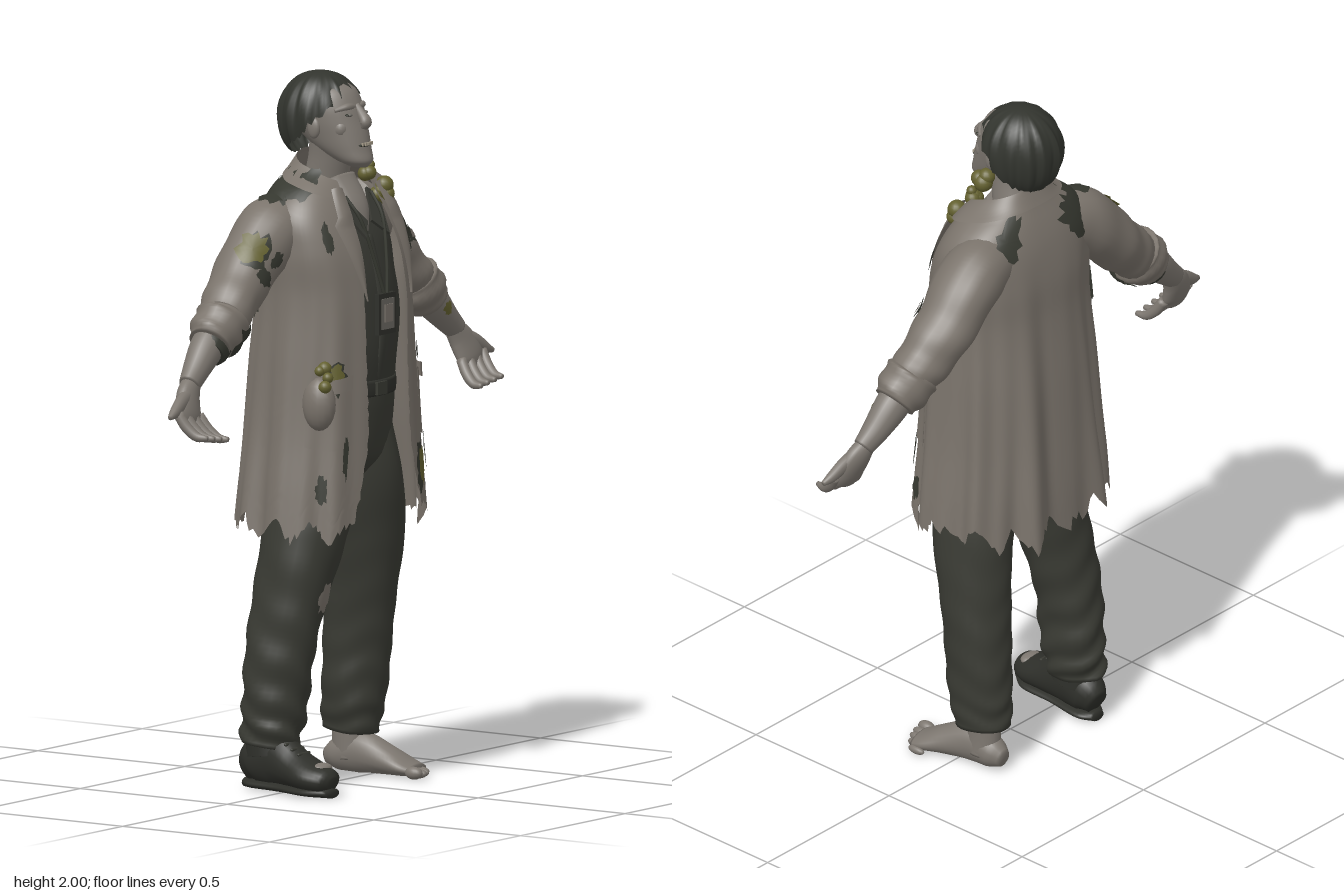
import * as THREE from 'three';

const M = {};
for (const [name, hex] of Object.entries({ coat: 0x7a736b, skin: 0x7d7770, trousers: 0x393a33, shirt: 0x373832, hair: 0x32342e,
  growth: 0x646130, shoe: 0x2e2f2a, tear: 0x363830, badge: 0x6a6761, teeth: 0xa39a88 })) {
  M[name] = new THREE.MeshStandardMaterial({ color: hex, side: THREE.DoubleSide });
  M[name].name = name;
}
const { sin, cos, PI, abs, sign } = Math;
const hash = n => { const s = sin(n * 127.1 + 11.7) * 43758.5453; return s - Math.floor(s); };
const lerp = THREE.MathUtils.lerp;

function add(parent, name, geo, mat, pos = [0, 0, 0], scale = [1, 1, 1], rot = [0, 0, 0]) {
  const m = new THREE.Mesh(geo, mat);
  m.name = name;
  m.position.set(...pos); m.scale.set(...scale); m.rotation.set(...rot);
  parent.add(m);
}
const ball = (parent, name, mat, pos, size) => add(parent, name, new THREE.SphereGeometry(1, 16, 12), mat, pos, size);

// Grid surface from fn(u, v) -> [x, y, z]; wrap joins the two u ends
function surface(nu, nv, fn, wrap = false) {
  const pos = [], idx = [], cols = wrap ? nu : nu + 1;
  for (let j = 0; j <= nv; j++) for (let i = 0; i < cols; i++) pos.push(...fn(i / nu, j / nv, i, j));
  for (let j = 0; j < nv; j++) for (let i = 0; i < nu; i++) {
    const a = j * cols + i, b = j * cols + (i + 1) % cols, c = a + cols, d = b + cols;
    idx.push(a, b, d, a, d, c);
  }
  const g = new THREE.BufferGeometry();
  g.setAttribute('position', new THREE.Float32BufferAttribute(pos, 3));
  g.setIndex(idx);
  g.computeVertexNormals();
  return g;
}

// Point function of a tube through rows [x, y, z, ra, rb]; "ref" is the direction of rb, "along" fixes the ring normal
function tubePoint(rows, { ref = [0, 0, 1], along, bump = () => 1 } = {}) {
  const path = new THREE.CatmullRomCurve3(rows.map(r => new THREE.Vector3(r[0], r[1], r[2])));
  const radii = new THREE.CatmullRomCurve3(rows.map(r => new THREE.Vector3(r[3], r[4], 0)), false, 'catmullrom');
  const R = new THREE.Vector3(...ref);
  return (a, t, off = 0, open = 1) => {
    const k = open * bump(a, t), c = path.getPoint(t), r = radii.getPoint(t);
    const T = along ? new THREE.Vector3(...along) : path.getTangent(t);
    const A = T.clone().cross(R).normalize(), B = A.clone().cross(T);
    return c.addScaledVector(A, sin(a) * (r.x * k + off)).addScaledVector(B, cos(a) * (r.y * k + off)).toArray();
  };
}
// Capped tube
function limb(rows, opts = {}) {
  const { nu = 20, nv = 24 } = opts, at = tubePoint(rows, opts);
  return surface(nu, nv + 2, (u, v, i, j) =>
    at(u * 2 * PI, THREE.MathUtils.clamp((j - 1) / nv, 0, 1), 0, j === 0 || j === nv + 2 ? 0 : 1), true);
}
// Ragged patch lying on a surface given as at(a, b, offset)
const patch = (at, a0, b0, da, db, off = 0.007) => surface(22, 5, (u, v, i) => {
  const t = u * 2 * PI, r = (1 - v) * (0.7 + 0.5 * hash((i % 22) + a0 * 9));
  return at(a0 + da * r * cos(t), b0 + db * r * sin(t), off);
});

// Coat cross-sections: y, half width, front z, back z, left opening x, right opening x
const rows = [
  [0.70, 0.298, 0.215, -0.220, 0.21, 0.18], [0.85, 0.283, 0.210, -0.213, 0.135, 0.13], [1.00, 0.265, 0.205, -0.203, 0.11, 0.10],
  [1.20, 0.250, 0.200, -0.190, 0.10, 0.10], [1.40, 0.238, 0.190, -0.172, 0.105, 0.10], [1.52, 0.245, 0.170, -0.165, 0.09, 0.10],
  [1.62, 0.232, 0.128, -0.145, 0.075, 0.095], [1.68, 0.182, 0.095, -0.122, 0.068, 0.085], [1.72, 0.12, 0.075, -0.102, 0.062, 0.075],
  [1.77, 0.080, 0.055, -0.082, 0.055, 0.065]];
const profile = new THREE.CubicInterpolant(new Float32Array(rows.map(r => r[0])), new Float32Array(rows.flatMap(r => r.slice(1))), 5);
const section = y => [...profile.evaluate(THREE.MathUtils.clamp(y, 0.7, 1.77))];
const soft = (s, p) => sign(s) * abs(s) ** p;
function coatPoint(a, y, off = 0) {
  const [rx, zf, zb] = section(y);
  const drop = THREE.MathUtils.clamp((1.6 - y) / 0.85, 0, 1);
  const back = 0.5 - 0.5 * cos(a);
  const fold = drop * (0.010 * sin(9 * a + 2 * y) + 0.006 * sin(16 * a + 1)) * (0.5 + back);
  const k = off + fold;
  return [(rx + k) * soft(sin(a), 0.8), y + off * (y > 1.6 ? 0.7 : 0), (zf + zb) / 2 + ((zf - zb) / 2 + k) * soft(cos(a), 0.85)];
}
const edge = (y, left) => {
  const s = section(y);
  return Math.asin(Math.min(0.98, s[left ? 3 : 4] / s[0]) ** 1.25);
};
// The neckline is high at the nape and low in front
const neckline = u => 1.695 + 0.07 * sin(u * PI);

function buildCoat(g) {
  add(g, 'coatBody', surface(144, 56, (u, v, i, j) => {
    const jag = 0.022 * sin(i * 0.5) + 0.05 * (hash(Math.floor(i / 3)) - 0.5) + (hash(i + 50) - 0.5) * 0.025;
    const y = lerp(0.75 + jag, neckline(u), v);
    const n = 0.04 * (hash(j + 5) - 0.5) * (1 - v);
    return coatPoint(lerp(edge(y, true) + n, 2 * PI - edge(y, false) - n, u), y);
  }), M.coat);
  // Turned-down collar
  add(g, 'collar', surface(64, 6, (u, v) => {
    const y = lerp(neckline(u) - 0.045, neckline(u) + 0.008, v);
    return coatPoint(lerp(edge(y, true), 2 * PI - edge(y, false), u), y, 0.009 * (1 - v * 0.5));
  }), M.coat);
  for (const left of [true, false]) {
    const s = left ? 1 : -1;
    // Notched lapel
    add(g, 'lapel', surface(6, 24, (u, v) => {
      const y = lerp(1.38, 1.68, v);
      const w = (v < 0.72 ? v / 0.72 : 0.75) * 0.3 + 0.01;
      return coatPoint(s * (edge(y, left) + w * (left ? u : 1 - u) - 0.02), y, 0.011 + 0.006 * sin(u * PI));
    }), M.coat);
    // Pocket and its sagging flap
    for (const [name, y0, y1, off] of [['pocket', 0.98, 1.165, 0.005], ['pocketFlap', 1.14, 1.18, 0.014]])
      add(g, name, surface(14, 6, (u, v) => coatPoint((left ? 0 : 2 * PI) + s * lerp(0.55, 1.2, left ? u : 1 - u), lerp(y0, y1, v) - 0.012 * sin(u * PI), off)), M.coat);
  }
  ball(g, 'pocketBulge', M.coat, [-0.228, 1.1, 0.12], [0.04, 0.075, 0.05]);
  // Torn dark places
  [[2.5, 1.66, 0.26, 0.058], [3.72, 1.645, 0.4, 0.058], [4.35, 1.675, 0.5, 0.055], [5.0, 1.69, 0.4, 0.04], [5.5, 1.56, 0.08, 0.045], [5.5, 1.17, 0.16, 0.05],
    [0.62, 1.53, 0.07, 0.045], [0.75, 0.92, 0.06, 0.05], [0.95, 0.83, 0.07, 0.04], [5.35, 0.86, 0.09, 0.04], [0.55, 1.21, 0.07, 0.025], [0.47, 0.89, 0.09, 0.075],
    [4.15, 1.38, 0.14, 0.05], [5.65, 0.95, 0.04, 0.06]].forEach(p => add(g, 'tear', patch(coatPoint, ...p), M.tear));
  // Stains
  [[0.46, 0.89, 0.06, 0.055], [5.5, 1.18, 0.1, 0.035]].forEach(p => add(g, 'stain', patch(coatPoint, ...p, 0.012), M.growth));
}

function buildArm(g, s) {
  const side = r => r.map(p => [p[0] * s, ...p.slice(1)]);
  const sleeve = side([[0.13, 1.605, -0.045, 0.075, 0.085], [0.22, 1.567, -0.056, 0.09, 0.096], [0.33, 1.465, -0.063, 0.082, 0.088],
    [0.42, 1.38, -0.052, 0.074, 0.078], [0.49, 1.32, -0.045, 0.064, 0.064]]);
  const crease = { nv: 40, bump: (a, t) => 1 + 0.05 * sin(t * 26 + 2 * sin(a)) * t + 0.02 * sin(3 * a + t * 9) };
  add(g, 'sleeve', limb(sleeve, crease), M.coat);
  // Holes and stains on the sleeve: height around it, place along it, sizes
  const onSleeve = tubePoint(sleeve, crease);
  const spots = s > 0 ? [[0.55, 0.5, 0.3, 0.06, 'tear'], [0.1, 0.4, 0.2, 0.03, 'tear'], [0.55, 0.5, 0.16, 0.035, 'coat']]
    : [[0.9, 0.45, 0.55, 0.1, 'tear'], [1.0, 0.45, 0.48, 0.085, 'growth'], [0.2, 0.55, 0.4, 0.05, 'tear'], [1.5, 0.14, 0.4, 0.08, 'tear'], [0.1, 0.42, 0.2, 0.05, 'tear']];
  for (const [up, t, da, dt, mat] of spots) add(g, 'sleeve ' + mat, patch(onSleeve, -s * up, t, da, dt, mat === 'tear' ? 0.005 : 0.009), M[mat]);
  const cuff = side([[0.445, 1.36, -0.048, 0.066, 0.066], [0.46, 1.345, -0.046, 0.08, 0.077], [0.5, 1.312, -0.044, 0.076, 0.07], [0.525, 1.29, -0.042, 0.064, 0.058]]);
  const rolls = { nv: 16, bump: (a, t) => 1 + 0.05 * sin(t * 14 + 2 * a) };
  add(g, 'rolledCuff', limb(cuff, rolls), M.coat);
  if (s < 0) {
    add(g, 'cuffTear', patch(tubePoint(cuff, rolls), -0.95, 0.5, 0.9, 0.42, 0.005), M.tear);
    add(g, 'shirtCuff', limb(side([[0.48, 1.32, -0.044, 0.062, 0.058], [0.525, 1.28, -0.04, 0.058, 0.054], [0.54, 1.268, -0.038, 0.05, 0.048]])), M.tear);
  }
  const forearm = side([[0.47, 1.34, -0.045, 0.05, 0.05], [0.54, 1.28, -0.042, 0.05, 0.047], [0.6, 1.225, -0.036, 0.039, 0.037], [0.64, 1.19, -0.03, 0.033, 0.028]]);
  add(g, 'forearm', limb(forearm), M.skin);
  if (s > 0) add(g, 'forearmStain', patch(tubePoint(forearm), 0.1, 0.42, 0.35, 0.08, 0.004), M.growth);
  add(g, 'palm', limb(side([[0.625, 1.2, -0.032, 0.028, 0.026], [0.655, 1.16, -0.022, 0.045, 0.027], [0.674, 1.115, -0.008, 0.052, 0.024],
    [0.678, 1.082, 0, 0.038, 0.016]])), M.skin);
  add(g, 'thumb', limb(side([[0.65, 1.175, -0.02, 0.022, 0.02], [0.70, 1.152, -0.012, 0.023, 0.018], [0.745, 1.128, -0.005, 0.016, 0.014],
    [0.772, 1.118, 0, 0.007, 0.007]]), { nu: 12 }), M.skin);
  for (let i = 0; i < 4; i++) {
    const x = 0.612 + i * 0.033, y = 1.088 + i * 0.005;
    add(g, 'finger', limb(side([[x + 0.016, y + 0.02, -0.005, 0.015, 0.015], [x + 0.008, y - 0.018, 0.02, 0.016, 0.015], [x, y - 0.042, 0.05, 0.0135, 0.013],
      [x - 0.006, y - 0.044, 0.08, 0.007, 0.007]]), { nu: 10, nv: 12, ref: [1, 0, 0] }), M.skin);
  }
}

function buildHead(g) {
  const X = -0.015;
  add(g, 'neck', limb([[0, 1.56, -0.03, 0.075, 0.06], [0, 1.67, -0.02, 0.064, 0.064], [-0.008, 1.76, 0, 0.058, 0.06], [X, 1.83, 0.01, 0.06, 0.06]]), M.skin);
  add(g, 'chest', limb([[0, 1.55, 0.095, 0.018, 0.03], [0, 1.62, 0.075, 0.05, 0.038], [0, 1.7, 0.026, 0.06, 0.034]]), M.skin);
  add(g, 'skull', limb([[X, 1.74, 0.105, 0.02, 0.025], [X, 1.757, 0.09, 0.046, 0.054], [X, 1.79, 0.052, 0.064, 0.084], [X, 1.83, 0.022, 0.076, 0.105],
    [X, 1.87, 0.002, 0.085, 0.113], [X, 1.91, -0.008, 0.087, 0.11], [X, 1.95, -0.018, 0.078, 0.098], [X, 1.98, -0.02, 0.045, 0.06]],
  { nu: 32, nv: 36, along: [0, 1, 0] }), M.skin);
  add(g, 'nose', limb([[X, 1.912, 0.094, 0.009, 0.01], [X, 1.888, 0.112, 0.012, 0.014], [X, 1.866, 0.128, 0.018, 0.016], [X, 1.85, 0.122, 0.012, 0.01]], { nu: 12 }), M.skin);
  add(g, 'mouth', new THREE.SphereGeometry(1, 16, 10), M.tear, [X, 1.803, 0.125], [0.03, 0.006, 0.012]);
  for (let i = -2; i <= 2; i++) add(g, 'tooth', new THREE.BoxGeometry(0.007, 0.009, 0.006), M.teeth, [X + i * 0.01, 1.806, 0.136 - i * i * 0.001]);
  for (const s of [-1, 1]) {
    ball(g, 'eyeSocket', M.tear, [X + s * 0.037, 1.888, 0.095], [0.013, 0.004, 0.009]);
    ball(g, 'eye', M.badge, [X + s * 0.037, 1.888, 0.098], [0.009, 0.005, 0.009]);
    add(g, 'brow', limb([[X + s * 0.008, 1.907, 0.094, 0.008, 0.008], [X + s * 0.035, 1.91, 0.09, 0.01, 0.01], [X + s * 0.065, 1.9, 0.066, 0.006, 0.006]], { nu: 10 }), M.skin);
    ball(g, 'cheek', M.skin, [X + s * 0.042, 1.848, 0.074], [0.026, 0.028, 0.024]);
    ball(g, 'ear', M.skin, [X + s * 0.083, 1.85, 0.01], [0.012, 0.03, 0.02]);
  }
  // Shaggy hair cap, parted over the forehead, with a ragged rim
  add(g, 'hair', surface(72, 18, (u, v, i) => {
    const a = u * 2 * PI, rim = -0.3 + 0.86 * cos(a) + 0.09 * cos(2 * a) + 0.2 * (hash(i) - 0.5);
    const lat = lerp(rim, PI / 2, v), c = Math.max(0, cos(lat)) ** (lat < 0 ? 0.65 : 0.9);
    const k = 1 + (0.04 * sin(13 * a + 4 * v) + 0.025 * sin(23 * a)) * c;
    return [X + 0.109 * k * c * sin(a), 1.875 + 0.124 * sin(lat), -0.026 + 0.122 * k * c * cos(a)];
  }, true), M.hair);
}

function buildBody(g) {
  // Shirt, belt and trouser seat
  add(g, 'shirt', limb([[0, 1.1, 0, 0.2, 0.155], [0, 1.25, 0.005, 0.21, 0.168], [0, 1.4, 0.005, 0.21, 0.16], [0, 1.52, -0.005, 0.205, 0.142],
    [0, 1.6, -0.015, 0.18, 0.108], [0, 1.65, -0.02, 0.12, 0.078], [0, 1.69, -0.025, 0.06, 0.055]],
  { nu: 36, nv: 36, along: [0, 1, 0], bump: (a, t) => 1 + 0.015 * sin(t * 22 + 3 * a) }), M.shirt);
  add(g, 'placket', limb([[0, 1.14, 0.157, 0.016, 0.006], [0, 1.25, 0.174, 0.016, 0.006], [0, 1.4, 0.167, 0.016, 0.006], [0, 1.55, 0.128, 0.014, 0.006]], { nu: 8 }), M.shirt);
  for (const s of [-1, 1]) {
    const flap = new THREE.Shape([[0, 0], [0.055, 0.1], [0.09, 0.07], [0.045, -0.05]].map(p => new THREE.Vector2(p[0] * s, p[1])));
    add(g, 'shirtCollar', new THREE.ExtrudeGeometry(flap, { depth: 0.008, bevelEnabled: false }), M.shirt, [s * 0.01, 1.585, 0.125], [1, 1, 1], [-0.62, 0, 0]);
    const cord = new THREE.CatmullRomCurve3([[0.062, 1.66, 0.09], [0.052, 1.6, 0.135], [0.028, 1.48, 0.168], [0.006, 1.385, 0.185]].map(p => new THREE.Vector3(p[0] * s, p[1], p[2])));
    add(g, 'lanyard', new THREE.TubeGeometry(cord, 20, 0.005, 6), M.tear);
  }
  add(g, 'badgeFrame', new THREE.BoxGeometry(0.082, 0.115, 0.014), M.shoe, [0, 1.333, 0.184]);
  add(g, 'badgeFace', new THREE.BoxGeometry(0.06, 0.086, 0.006), M.badge, [0, 1.333, 0.191]);
  add(g, 'badgePicture', new THREE.BoxGeometry(0.036, 0.05, 0.004), M.coat, [0, 1.335, 0.195]);
  add(g, 'seat', limb([[0, 0.87, 0.005, 0.1, 0.09], [0, 0.93, 0, 0.18, 0.14], [0, 1.05, 0, 0.2, 0.158], [0, 1.14, 0, 0.2, 0.16]], { nu: 32, along: [0, 1, 0] }), M.trousers);
  add(g, 'belt', limb([[0, 1.1, 0, 0.203, 0.166], [0, 1.12, 0, 0.204, 0.168], [0, 1.145, 0, 0.203, 0.166]], { nu: 32, nv: 6, along: [0, 1, 0] }), M.shoe);
  add(g, 'buckle', new THREE.BoxGeometry(0.045, 0.036, 0.01), M.trousers, [0, 1.122, 0.17]);
}

function buildLeg(g, s) {
  const d = s < 0 ? 0.02 : 0; // the right leg stands wider and its trouser bunches up
  const rough = s < 0 ? 0.08 : 0.04;
  const leg = [[0.085, 1.0, 0, 0.11, 0.13], [0.105, 0.86, 0.01, 0.105, 0.135], [0.145, 0.7, 0.004, 0.102, 0.122], [0.168 + d / 2, 0.52, -0.018, 0.092, 0.107],
    [0.178 + d, 0.36, -0.04, 0.086, 0.1], [0.18 + d, 0.22, -0.055, 0.082, 0.095], [0.185 + d, 0.125, -0.065, 0.07, 0.085]].map(p => [p[0] * s, ...p.slice(1)]);
  const opts = { nu: 28, nv: 60, bump: (a, t) => 1 + rough * t * t * sin(t * 50 + 3 * sin(a + s) + sin(3 * a)) + 0.03 * sin(3 * a + t * 12) };
  add(g, 'trouserLeg', limb(leg, opts), M.trousers);
  if (s < 0) add(g, 'kneeTear', patch(tubePoint(leg, opts), 0, 0.46, 0.25, 0.04, 0.006), M.coat);
}

function buildFeet(g) {
  // Bare left foot
  add(g, 'ankle', limb([[0.188, 0.2, -0.07, 0.045, 0.052], [0.188, 0.11, -0.072, 0.042, 0.052], [0.19, 0.04, -0.07, 0.042, 0.055]]), M.skin);
  add(g, 'foot', limb([[0.186, 0.04, -0.145, 0.022, 0.025], [0.187, 0.048, -0.11, 0.04, 0.046], [0.192, 0.06, -0.04, 0.043, 0.06], [0.205, 0.043, 0.04, 0.053, 0.043],
    [0.216, 0.026, 0.1, 0.062, 0.026], [0.222, 0.018, 0.135, 0.055, 0.016]], { ref: [0, 1, 0] }), M.skin);
  for (let i = 0; i < 5; i++) {
    const r = i === 0 ? 0.018 : 0.0145 - i * 0.0007;
    ball(g, 'toe', M.skin, [0.172 + i * 0.026, r, 0.158 - i * i * 0.0035], [r, r, 0.028]);
  }
  // Worn right shoe
  add(g, 'shoe', limb([[-0.198, 0.055, -0.145, 0.03, 0.04], [-0.2, 0.075, -0.11, 0.05, 0.065], [-0.208, 0.09, -0.04, 0.052, 0.08], [-0.22, 0.068, 0.04, 0.058, 0.056],
    [-0.235, 0.052, 0.11, 0.066, 0.042], [-0.242, 0.045, 0.16, 0.048, 0.034], [-0.243, 0.04, 0.178, 0.018, 0.018]], { ref: [0, 1, 0] }), M.shoe);
  add(g, 'sole', limb([[-0.198, 0.014, -0.148, 0.022, 0.014], [-0.2, 0.014, -0.11, 0.046, 0.014], [-0.215, 0.014, 0, 0.048, 0.014], [-0.235, 0.014, 0.11, 0.063, 0.014],
    [-0.243, 0.014, 0.176, 0.028, 0.014]], { ref: [0, 1, 0] }), M.shoe);
  add(g, 'shoeTop', limb([[-0.203, 0.1, -0.06, 0.062, 0.075], [-0.204, 0.15, -0.065, 0.06, 0.07]]), M.shoe);
  ball(g, 'tornToe', M.skin, [-0.228, 0.08, 0.13], [0.035, 0.014, 0.025]);
  for (let i = 0; i < 3; i++) add(g, 'lace', new THREE.CapsuleGeometry(0.005, 0.05, 3, 6), M.trousers, [-0.222, 0.137 - i * 0.012, 0.02 + i * 0.022], [1, 1, 1], [0, 0, PI / 2]);
}

function buildGrowths(g) {
  // Clusters: centre, spread and bead size
  [[0.055, 1.785, 0.045, 0.022, 0.025], [0.075, 1.725, 0.07, 0.02, 0.02], [0.1, 1.66, 0.1, 0.022, 0.024], [-0.225, 1.17, 0.135, 0.03, 0.02],
    [-0.305, 1.54, -0.02, 0.03, 0.016]].forEach(([x, y, z, spread, size], k) => {
    for (let i = 0; i < 6; i++) {
      const q = n => (hash(k * 31 + i * 7 + n) - 0.5) * 2 * spread, r = size * (0.6 + 0.5 * hash(i + k * 5));
      ball(g, 'growth', M.growth, [x + q(1) * 0.6, y + q(2), z + q(3) * 0.6], [r, r, r]);
    }
  });
}

export function createModel() {
  const model = new THREE.Group();
  model.name = 'figure';
  const part = (name, fn, ...args) => { const g = new THREE.Group(); g.name = name; fn(g, ...args); model.add(g); };
  part('head', buildHead);
  part('body', buildBody);
  part('coat', buildCoat);
  for (const s of [1, -1]) {
    part(s > 0 ? 'leftArm' : 'rightArm', buildArm, s);
    part(s > 0 ? 'leftLeg' : 'rightLeg', buildLeg, s);
  }
  part('feet', buildFeet);
  part('growths', buildGrowths);
  return model;
}
